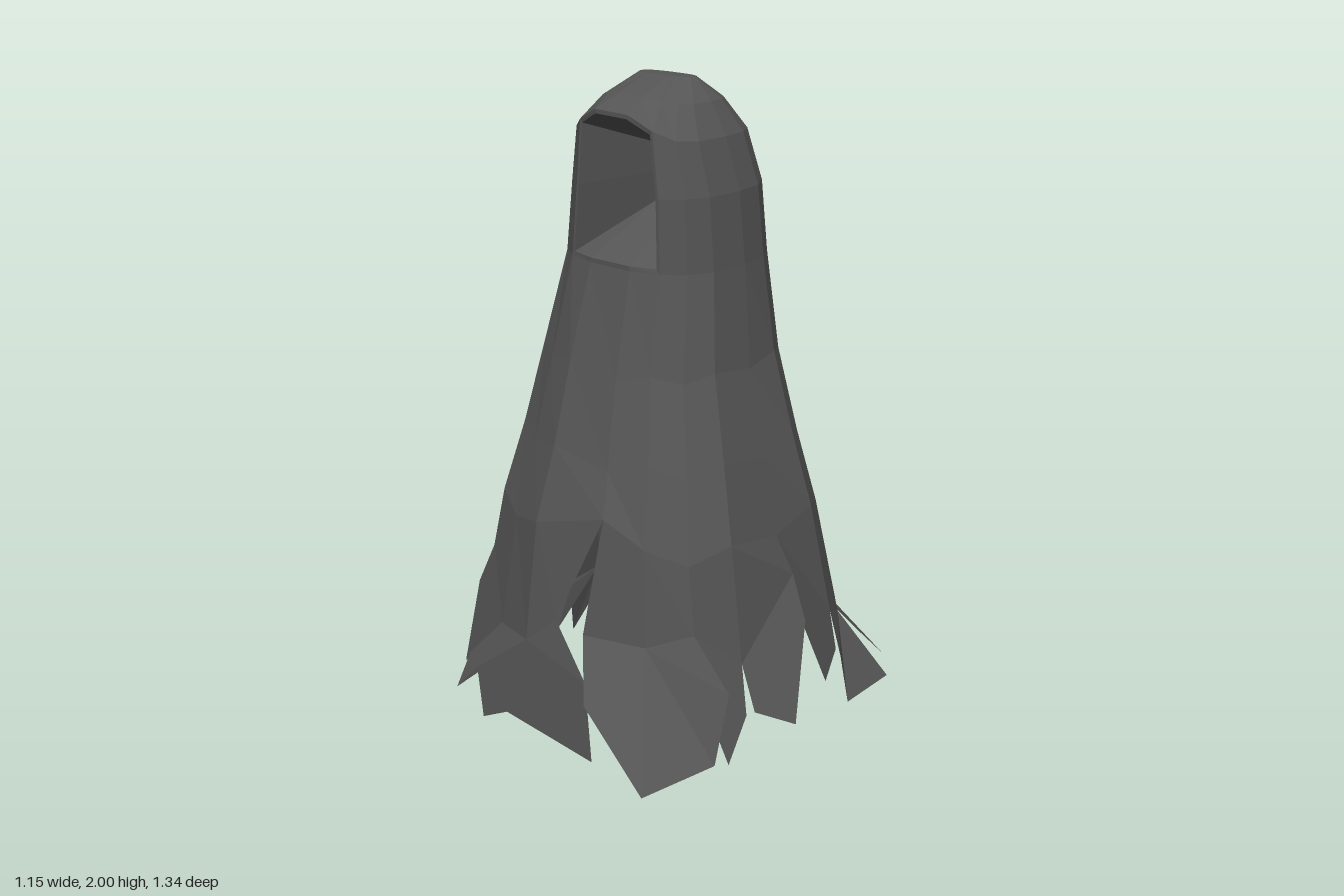
import * as THREE from 'three';

const cloth = new THREE.MeshStandardMaterial({
  color: 0x555555, flatShading: true, side: THREE.DoubleSide,
});

// Mesh from a list of triangle corners
function patch(name, corners) {
  const g = new THREE.BufferGeometry();
  g.setAttribute('position', new THREE.Float32BufferAttribute(corners.flat(), 3));
  g.computeVertexNormals();
  const m = new THREE.Mesh(g, cloth);
  m.name = name;
  return m;
}

// Join successive rows of points with quads
function loft(rows) {
  const out = [];
  for (let r = 0; r + 1 < rows.length; r++) {
    const a = rows[r], b = rows[r + 1];
    for (let i = 0; i + 1 < a.length; i++) {
      out.push(a[i], b[i], b[i + 1], a[i], b[i + 1], a[i + 1]);
    }
  }
  return out;
}

function fan(pivot, pts) {
  const out = [];
  for (let i = 0; i + 1 < pts.length; i++) out.push(pivot, pts[i], pts[i + 1]);
  return out;
}

// Squarish ring with pleats, from the front slit round by the left side and back;
// brow lifts its front
const COLUMNS = 18;
function ring(y, x0, x1, z0, z1, pleat = 0, brow = 0) {
  const square = (v) => Math.sign(v) * Math.abs(v) ** 0.75;
  return Array.from({ length: COLUMNS + 1 }, (_, i) => {
    const a = 0.2 + (i / COLUMNS) * Math.PI * 2;
    const r = i % 3 === 1 ? 1 - pleat : 1;
    return [
      (x0 + x1) / 2 + (x1 - x0) / 2 * r * square(Math.sin(a)),
      y + (i % 2 ? pleat : -pleat) * 0.5 + brow * Math.max(0, Math.cos(a)) ** 6,
      (z0 + z1) / 2 + (z1 - z0) / 2 * r * square(Math.cos(a)),
    ];
  });
}

// Notch heights along the hem
const notches = [0.45, 0.45, 0.5, 0.38, 0.58, 0.38, 0.3, 0.3, 0.36, 0.42,
  0.42, 0.36, 0.22, 0.2, 0.36, 0.54, 0.34, 0.36, 0.46];

// Ragged strips: first and last hem column, then tip points
const tatters = [
  [0, 2, [0.43, 0.13, 0.67], [0.51, 0.16, 0.45]],
  [2, 3, [0.48, 0.10, 0.35]],
  [3, 4, [0.57, 0.18, 0.15]],
  [4, 5, [0.51, 0.20, -0.08]],
  [5, 7, [0.50, 0.06, -0.22], [0.50, 0.06, -0.44]],
  [7, 8, [0.41, 0.06, -0.55]],
  [8, 9, [0.15, 0.25, -0.56], [0.00, 0.10, -0.67]],
  [10, 11, [-0.10, 0.10, -0.52], [-0.17, 0.05, -0.64]],
  [12, 13, [-0.57, 0.00, -0.07], [-0.53, 0.20, -0.02], [-0.51, 0.08, 0.06]],
  [13, 14, [-0.52, 0.20, 0.22]],
  [14, 15, [-0.58, 0.08, 0.34]],
  [15, 16, [-0.53, 0.12, 0.46]],
  [16, 18, [-0.45, 0.10, 0.57], [-0.36, 0.20, 0.56], [-0.33, 0.04, 0.57],
    [-0.22, 0.10, 0.57], [0.18, 0.11, 0.61]],
];

// Each strip keeps its width part of the way down, then narrows to its tips
function tatter(hem, [first, last, ...tips]) {
  const pivot = hem[Math.floor((first + last) / 2)];
  const mid = hem[first].map((v, k) => (v + hem[last][k]) / 2);
  const shoulder = (p, tip) => p.map((v, k) => v + 0.45 * (tip[k] - mid[k]));
  const outline = [
    hem[first], shoulder(hem[first], tips[0]), ...tips, shoulder(hem[last], tips.at(-1)), hem[last],
  ];
  return fan(pivot, outline.filter((p) => p !== pivot));
}

export function createModel() {
  const model = new THREE.Group();
  model.name = 'hoodedCloak';

  // Robe, split open at the front below the slit
  const neck = ring(1.49, -0.31, 0.25, -0.22, 0.29);
  const waist = ring(0.72, -0.48, 0.42, -0.36, 0.50, 0.04);
  waist[0] = waist[COLUMNS] = [0.11, 0.81, 0.47];
  const hem = ring(0.45, -0.53, 0.46, -0.44, 0.53, 0.03).map(([x, , z], i) => {
    const flare = 1 + Math.max(0, 0.45 - notches[i]) * 0.25;
    return [x * flare, notches[i], z * flare];
  });
  hem[0][0] = 0.07;
  hem[COLUMNS][0] = -0.04;
  model.add(patch('robe', loft([
    neck,
    ring(1.20, -0.37, 0.29, -0.26, 0.36, 0.02),
    ring(0.95, -0.42, 0.36, -0.30, 0.43, 0.03),
    waist,
    hem,
  ])));

  // Torn hem
  const torn = new THREE.Group();
  torn.name = 'tornHem';
  for (const t of tatters) torn.add(patch('tatter', tatter(hem, t)));
  model.add(torn);

  // Hood sides and back, leaving the front columns open for the face
  const cheek = ring(1.70, -0.28, 0.235, -0.20, 0.285);
  const eaves = ring(1.85, -0.255, 0.195, -0.165, 0.275, 0, 0.08);
  model.add(patch('hood', loft([eaves, cheek, neck].map((r) => r.slice(1, COLUMNS - 1)))));

  // Hood top, sloping to the front and back from a short ridge
  const ridge = ring(2.0, -0.13, 0.07, 0.0, 0.06);
  model.add(patch('hoodTop', [
    ...loft([ridge, ring(1.94, -0.20, 0.14, -0.09, 0.19, 0, 0.02), eaves]),
    ...fan([-0.03, 2.0, 0.03], ridge),
  ]));

  // Face opening: rim, then a hollow narrowing to a back wall
  const edge = [
    ...[neck, cheek, eaves].map((r) => r[COLUMNS - 2]),
    eaves[COLUMNS - 1], eaves[COLUMNS],
    ...[eaves, cheek, neck].map((r) => r[1]),
    neck[COLUMNS], neck[COLUMNS - 1], neck[COLUMNS - 2],
  ];
  const inset = (s, z) => edge.map(([x, y, ez]) =>
    [-0.03 + (x + 0.03) * s, 1.72 + (y - 1.72) * s, z ?? ez]);
  const deep = inset(0.42, 0);
  model.add(patch('hoodHollow', [
    ...loft([edge, inset(0.94), deep]),
    ...fan([-0.03, 1.72, 0], [...deep].reverse()),
  ]));

  return model;
}
